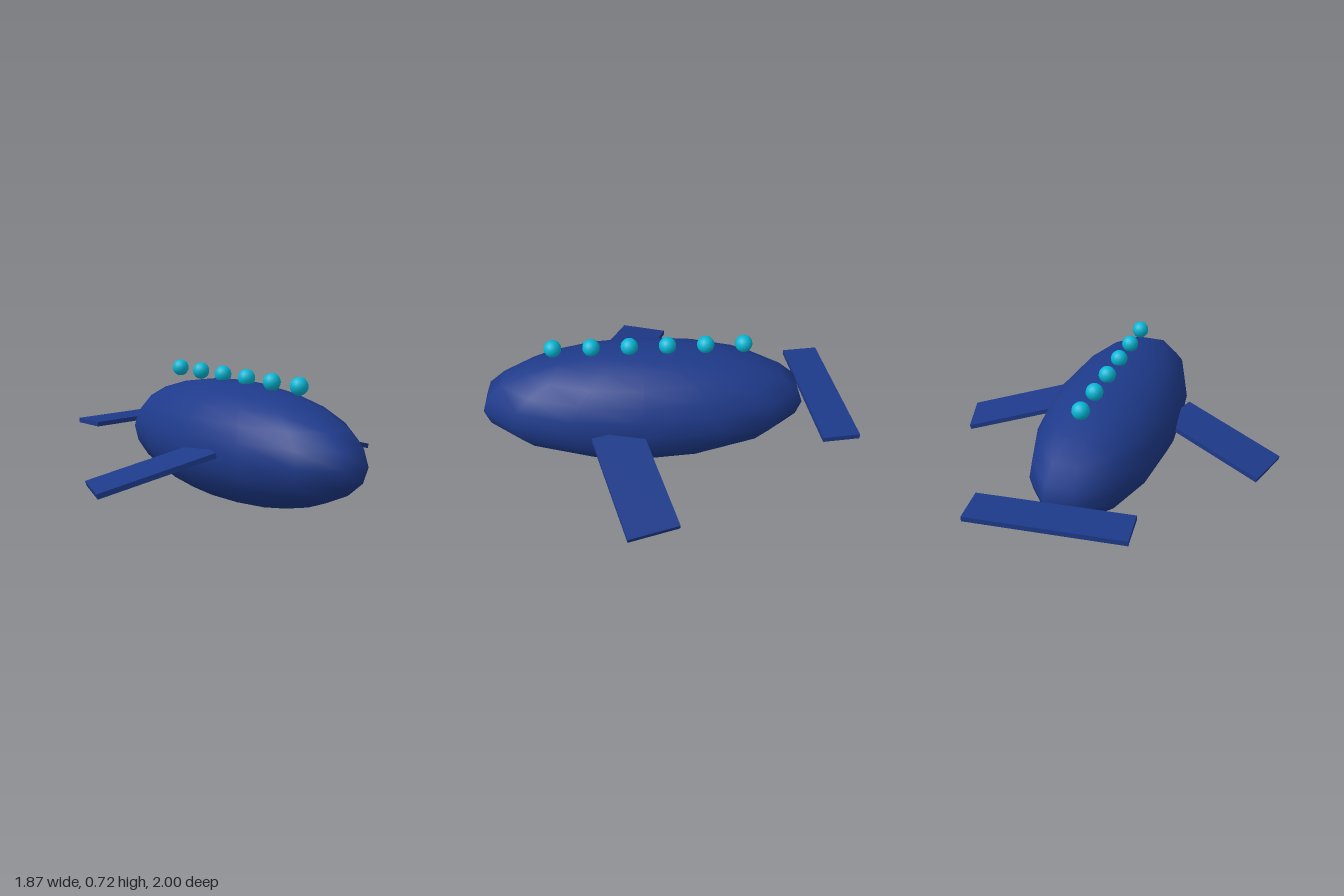
import * as THREE from 'three';

export function createModel() {
  const model = new THREE.Group();
  const navy = new THREE.MeshStandardMaterial({ color: 0x1e3a8a });
  navy.name = 'navy blue';
  const cyan = new THREE.MeshStandardMaterial({ color: 0x06b6d4 });
  cyan.name = 'cyan';

  const add = (name, geometry, material, x, y, z) => {
    const mesh = new THREE.Mesh(geometry, material);
    mesh.name = name;
    mesh.position.set(x, y, z);
    model.add(mesh);
    return mesh;
  };

  // Long ellipsoid hull, poles up and down
  const hull = new THREE.SphereGeometry(1, 14, 12);
  hull.scale(0.36, 0.324, 0.8975);
  add('body', hull, navy, 0, 0.324, 0.125);

  // Drooping, swept-back side fins
  for (const side of [1, -1]) {
    const fin = add(side > 0 ? 'leftFin' : 'rightFin',
      new THREE.BoxGeometry(0.615, 0.027, 0.27), navy, side * 0.607, 0.26, 0.188);
    fin.rotation.set(0, side * 0.3, side * -0.25);
  }

  // Flat tail fin, turned slightly
  const tail = add('tailFin', new THREE.BoxGeometry(0.808, 0.027, 0.198), navy, 0, 0.328, -0.862);
  tail.rotation.y = 0.1;

  // Row of beads along the back
  const bead = new THREE.SphereGeometry(0.047, 14, 12);
  for (let i = 0; i < 6; i++) {
    add('backBead' + (i + 1), bead, cyan, 0, 0.67, 0.602 - i * 0.2037);
  }

  return model;
}
